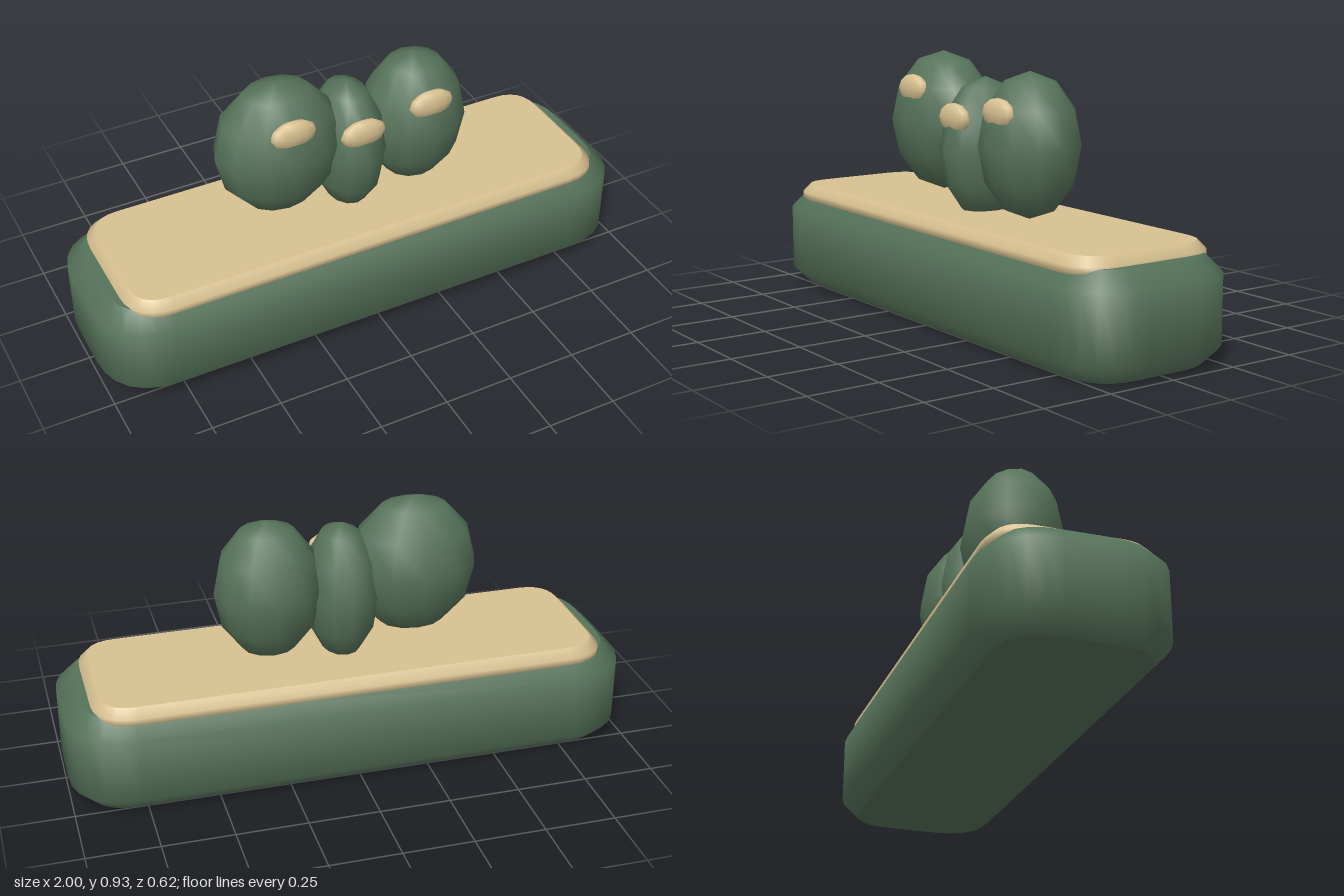
import * as THREE from 'three';
import { mergeGeometries, toCreasedNormals } from 'three/addons/utils/BufferGeometryUtils.js';

const green = new THREE.MeshStandardMaterial({ name: 'mossGreen', color: 0x56735a });
const sand = new THREE.MeshStandardMaterial({ name: 'sand', color: 0xd8c191 });

// Chamfered slab with rounded corners: smooth walls, crisp flat caps
function slabGeometry(halfX, halfZ, bottom, top, radius, bevel) {
  const x = halfX - bevel, y = halfZ - bevel, r = radius - bevel;
  const s = new THREE.Shape();
  s.moveTo(-x + r, -y);
  s.lineTo(x - r, -y);
  s.quadraticCurveTo(x, -y, x, -y + r);
  s.lineTo(x, y - r);
  s.quadraticCurveTo(x, y, x - r, y);
  s.lineTo(-x + r, y);
  s.quadraticCurveTo(-x, y, -x, y - r);
  s.lineTo(-x, -y + r);
  s.quadraticCurveTo(-x, -y, -x + r, -y);
  const solid = new THREE.ExtrudeGeometry(s, {
    depth: top - bottom - 2 * bevel, bevelEnabled: true, bevelSegments: 1,
    bevelSize: bevel, bevelThickness: bevel, curveSegments: 6,
  });
  const position = solid.getAttribute('position').array;
  const pieces = solid.groups.map(({ start, count }) => {
    const g = new THREE.BufferGeometry();
    g.setAttribute('position', new THREE.BufferAttribute(position.slice(start * 3, (start + count) * 3), 3));
    return toCreasedNormals(g, 1.0);
  });
  return mergeGeometries(pieces).rotateX(-Math.PI / 2).translate(0, bottom + bevel, 0);
}

function addMesh(parent, name, geometry, material) {
  const mesh = new THREE.Mesh(geometry, material);
  mesh.name = name;
  parent.add(mesh);
  return mesh;
}

function addEllipsoid(parent, name, material, center, radii) {
  const mesh = addMesh(parent, name, new THREE.SphereGeometry(1, 12, 6), material);
  mesh.position.set(...center);
  mesh.scale.set(...radii);
}

export function createModel() {
  const model = new THREE.Group();
  model.name = 'planter';

  // Long box and the inset top
  addMesh(model, 'base', slabGeometry(1, 0.31, 0, 0.355, 0.22, 0.06), green);
  addMesh(model, 'topSlab', slabGeometry(0.91, 0.28, 0.31, 0.39, 0.14, 0.03), sand);

  // Three egg-shaped pads, each with a pale spot on its front
  const pads = [
    { name: 'right', x: -0.26, y: 0.678, rx: 0.23, spotY: 0.798 },
    { name: 'middle', x: 0, y: 0.605, rx: 0.13, spotY: 0.718 },
    { name: 'left', x: 0.26, y: 0.642, rx: 0.19, spotY: 0.758 },
  ];
  for (const { name, x, y, rx, spotY } of pads) {
    addEllipsoid(model, name + 'Pad', green, [x, y, 0], [rx, 0.252, 0.172]);
    addEllipsoid(model, name + 'Spot', sand, [x, spotY, 0.13], [0.085, 0.053, 0.03]);
  }
  return model;
}
